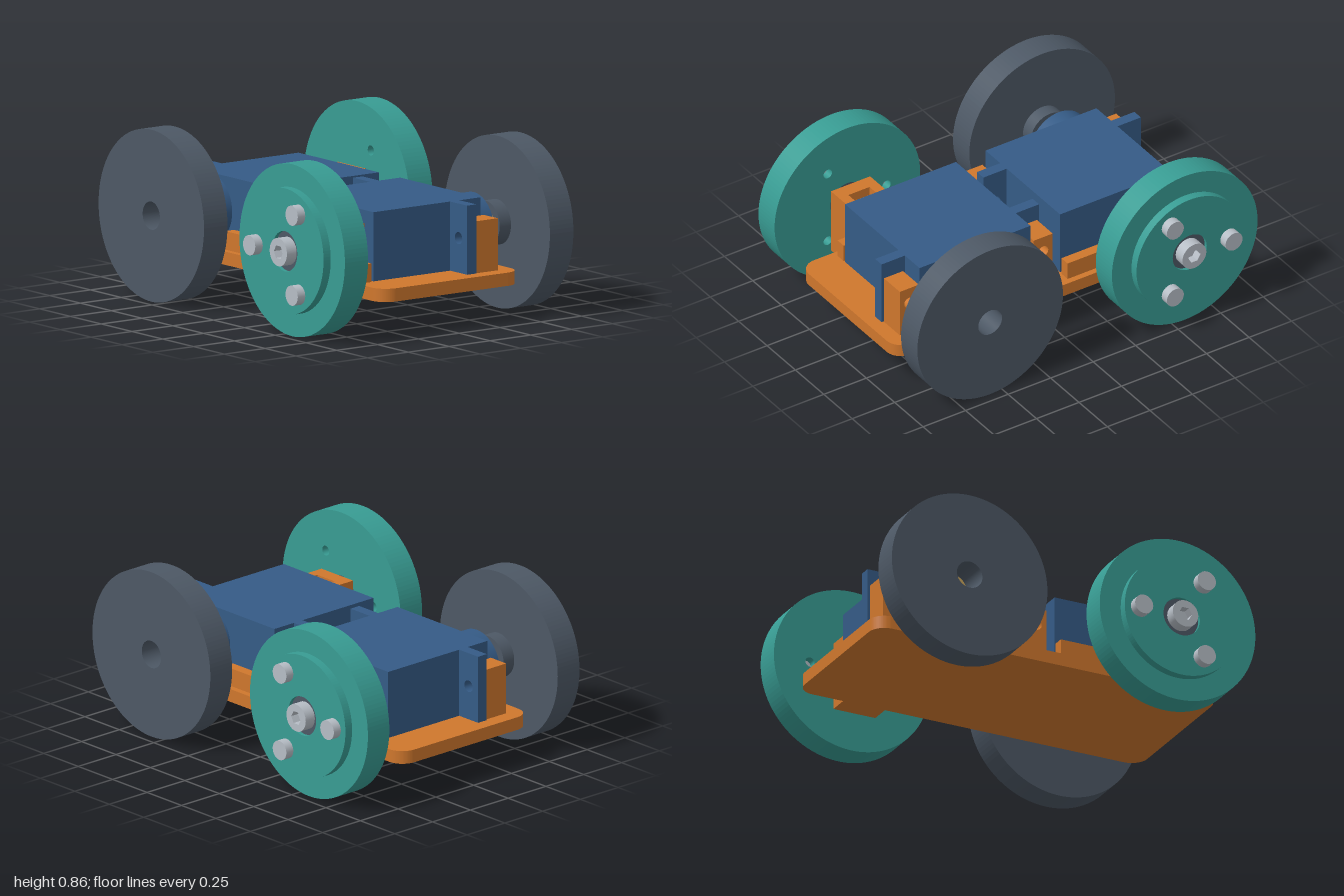
import * as THREE from 'three';

const mat = (name, color) => {
  const m = new THREE.MeshStandardMaterial({ color });
  m.name = name;
  return m;
};

export function createModel() {
  const orange = mat('orange plastic', 0xcf772d);
  const blue = mat('blue servo', 0x355b86);
  const teal = mat('teal wheel', 0x389c93);
  const slate = mat('slate wheel', 0x4d5865);
  const brass = mat('brass', 0xc8a45a);
  const steel = mat('steel', 0xb6bdc5);

  const AXLE_Y = 0.43, AXLE_Z = 0.572;

  const add = (parent, name, geometry, material) => {
    const mesh = new THREE.Mesh(geometry, material);
    mesh.name = name;
    parent.add(mesh);
    return mesh;
  };
  // box given by its limits on each axis
  const box = (parent, name, material, x0, x1, y0, y1, z0, z1) =>
    add(parent, name, new THREE.BoxGeometry(x1 - x0, y1 - y0, z1 - z0), material)
      .position.set((x0 + x1) / 2, (y0 + y1) / 2, (z0 + z1) / 2);
  // cylinder along x
  const rod = (parent, name, material, r, x0, x1, y = AXLE_Y, z = AXLE_Z, sides = 40) => {
    const g = new THREE.CylinderGeometry(r, r, x1 - x0, sides).rotateZ(Math.PI / 2);
    add(parent, name, g, material).position.set((x0 + x1) / 2, y, z);
  };
  // shape drawn in (-z, y), extruded along x
  const extrudeX = (parent, name, material, shape, x0, x1, y = AXLE_Y, z = AXLE_Z) => {
    const g = new THREE.ExtrudeGeometry(shape, { depth: x1 - x0, bevelEnabled: false, curveSegments: 64 });
    add(parent, name, g.rotateY(Math.PI / 2), material).position.set(x0, y, z);
  };
  const circle = (Kind, r, x = 0, y = 0) => new Kind().absarc(x, y, r, 0, Math.PI * 2, false);
  const rect = (w, h) => new THREE.Shape([[-w, -h], [w, -h], [w, h], [-w, h]].map(([x, y]) => new THREE.Vector2(x / 2, y / 2)));
  const disc = (r, ...holes) => {
    const s = circle(THREE.Shape, r);
    holes.forEach(([hr, x = 0, y = 0]) => s.holes.push(circle(THREE.Path, hr, x, y)));
    return s;
  };

  // one servo with its driven wheel (+x) and free wheel (-x)
  function buildHalf(name, boltSide) {
    const half = new THREE.Group();
    half.name = name;

    // servo body, output boss and drilled mounting tabs
    box(half, 'servoBody', blue, -0.328, 0.328, 0.258, 0.602, 0.087, 0.739);
    rod(half, 'servoBoss', blue, 0.164, 0.32, 0.412);
    for (const [z0, z1, holeZ] of [[-0.05, 0.087, 0.02], [0.739, 0.876, 0.807]]) {
      const mid = (z0 + z1) / 2;
      const tab = rect(z1 - z0, 0.344);
      tab.holes.push(circle(THREE.Path, 0.03, mid - holeZ, 0));
      extrudeX(half, 'servoTab', blue, tab, 0.142, 0.199, AXLE_Y, mid);

      // post that the tab screws to
      const post = rect(0.112, 0.29);
      post.holes.push(circle(THREE.Path, 0.03, 0, 0.06));
      extrudeX(half, 'tabPost', orange, post, 0.2, 0.34, 0.37, holeZ);
    }

    // rails beside the servo
    box(half, 'servoRail', orange, 0.34, 0.395, 0.25, 0.348, 0.087, 0.377);
    box(half, 'servoRail', orange, -0.395, -0.34, 0.25, 0.348, 0.087, 0.739);

    // driven wheel
    rod(half, 'driveShaft', brass, 0.069, 0.4, 0.53);
    extrudeX(half, 'driveHub', slate, disc(0.112, [0.07]), 0.486, 0.558);
    extrudeX(half, 'driveWheel', slate, disc(0.428, [0.07]), 0.556, 0.7);

    // axle block with a nut pocket open at the top
    const z0 = 0.457, z1 = 0.687, p0 = 0.51, p1 = 0.634;
    box(half, 'axleBlockBase', orange, -0.53, -0.345, 0.19, 0.36, z0, z1);
    box(half, 'axleBlockOuter', orange, -0.53, -0.456, 0.36, 0.542, z0, z1);
    box(half, 'axleBlockInner', orange, -0.4, -0.345, 0.36, 0.542, z0, z1);
    box(half, 'axleBlockEnd', orange, -0.456, -0.4, 0.36, 0.542, z0, p0);
    box(half, 'axleBlockEnd', orange, -0.456, -0.4, 0.36, 0.542, p1, z1);
    rod(half, 'axleNut', steel, 0.062, -0.453, -0.403, AXLE_Y, AXLE_Z, 6);
    rod(half, 'axleSpacer', brass, 0.055, -0.562, -0.525);

    // free wheel: rim and raised face, drilled for three bolts
    const spots = [0, 1, 2].map(i => {
      const a = i * Math.PI * 2 / 3;
      return [boltSide * Math.cos(a) * 0.23, Math.sin(a) * 0.23];
    });
    const holes = spots.map(([z, y]) => [0.025, -z, y]);
    extrudeX(half, 'freeWheelRim', teal, disc(0.428, [0.1], ...holes), -0.7, -0.558);
    extrudeX(half, 'freeWheelFace', teal, disc(0.313, [0.1], ...holes), -0.744, -0.7);
    rod(half, 'wheelBearing', slate, 0.1, -0.725, -0.56);
    for (const [z, y] of spots) {
      rod(half, 'wheelBoltHead', steel, 0.05, -0.79, -0.744, AXLE_Y + y, AXLE_Z + z, 24);
      rod(half, 'wheelBoltShank', steel, 0.0245, -0.744, -0.6, AXLE_Y + y, AXLE_Z + z, 24);
    }

    // axle bolt with a hex socket
    const head = disc(0.07);
    head.holes.push(new THREE.Path([...Array(6).keys()].map(i =>
      new THREE.Vector2(Math.cos(i * Math.PI / 3), Math.sin(i * Math.PI / 3)).multiplyScalar(0.036))));
    extrudeX(half, 'axleBoltHead', steel, head, -0.785, -0.74);
    rod(half, 'axleBoltCollar', steel, 0.07, -0.74, -0.72);
    return half;
  }

  const model = new THREE.Group();
  model.name = 'servoCart';

  // rounded base plate
  const w = 0.427, d = 0.942, r = 0.085;
  const s = new THREE.Shape();
  s.absarc(w - r, d - r, r, 0, Math.PI / 2);
  s.absarc(-w + r, d - r, r, Math.PI / 2, Math.PI);
  s.absarc(-w + r, -d + r, r, Math.PI, Math.PI * 1.5);
  s.absarc(w - r, -d + r, r, Math.PI * 1.5, Math.PI * 2);
  const plate = new THREE.ExtrudeGeometry(s, { depth: 0.066, bevelEnabled: false, curveSegments: 10 });
  add(model, 'basePlate', plate.rotateX(-Math.PI / 2), orange).position.y = 0.19;

  // the rear drive is the front one turned half round
  model.add(buildHalf('frontDrive', -1));
  const rear = buildHalf('rearDrive', 1);
  rear.rotation.y = Math.PI;
  model.add(rear);
  return model;
}
